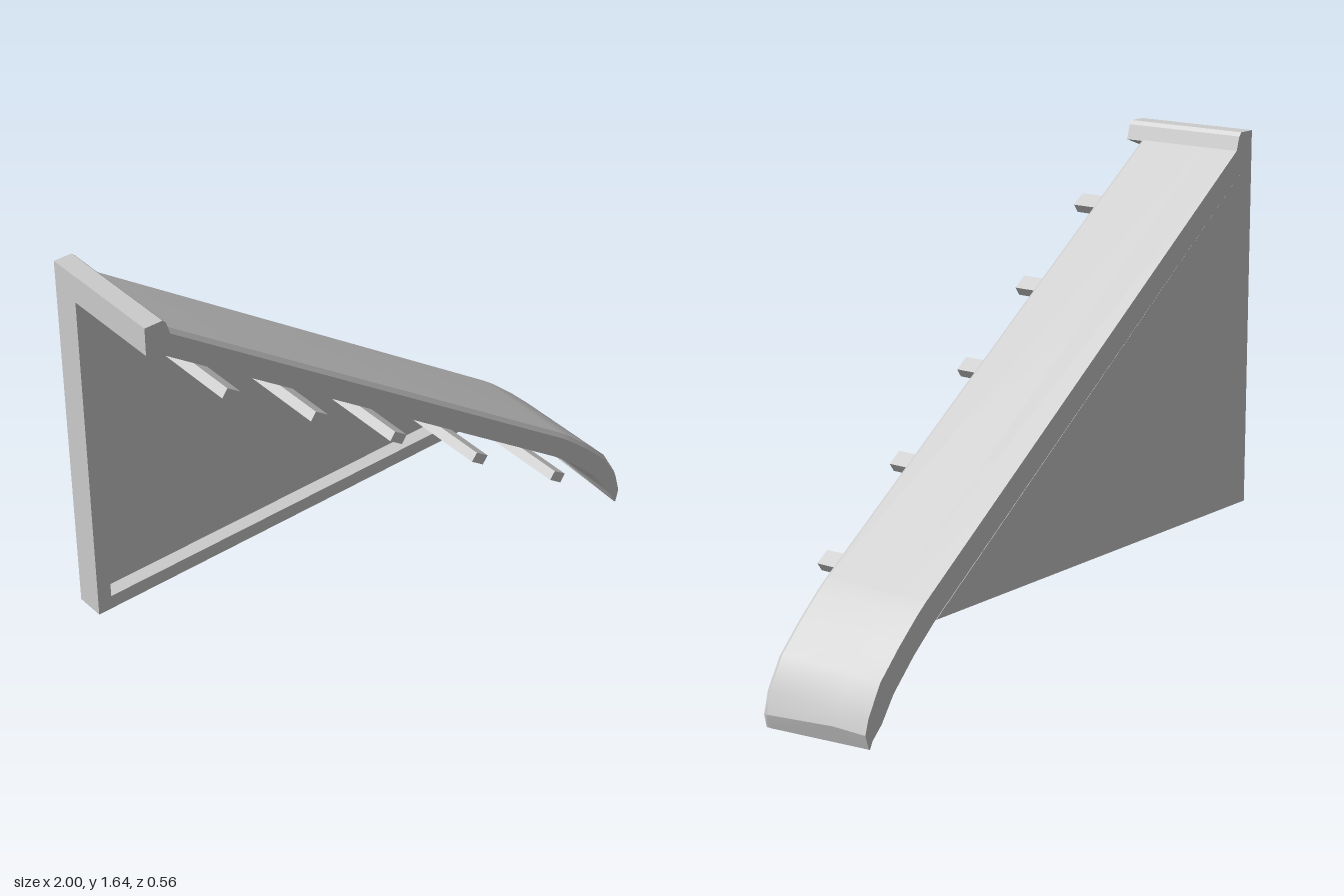
import * as THREE from 'three';
import { toCreasedNormals } from 'three/addons/utils/BufferGeometryUtils.js';

const BACK = -0.28;
const grey = new THREE.MeshStandardMaterial({ color: 0xcccccc });

const toPoints = (list) => list.map(([x, y]) => new THREE.Vector2(x, y));

// Flat outline extruded from z0 to z1, with an optional opening
function slab(name, outline, z0, z1, opening) {
  const shape = new THREE.Shape(toPoints(outline));
  if (opening) shape.holes.push(new THREE.Path(toPoints(opening)));
  const geometry = new THREE.ExtrudeGeometry(shape, { depth: z1 - z0, bevelEnabled: false });
  geometry.translate(0, 0, z0);
  const mesh = new THREE.Mesh(geometry, grey);
  mesh.name = name;
  return mesh;
}

// Roof: one cross-section carried down the slope and round the curled eave
function roofGeometry() {
  // outer x, outer y, inner x, inner y
  const stations = [
    [-0.95, 1.613, -1, 1.55],
    [0.72, 0.417, 0.64, 0.374],
    [0.76, 0.385, 0.68, 0.345],
    [0.845, 0.308, 0.775, 0.265],
    [0.93, 0.222, 0.87, 0.17],
    [0.985, 0.125, 0.925, 0.09],
    [1.0, 0.05, 0.967, 0.025],
    [0.985, 0.002, 0.98, 0],
  ];
  const rings = stations.map(([ox, oy, ix, iy]) => {
    const front = 0.127 + 0.008 * ox;
    const lift = 0.025 * THREE.MathUtils.smoothstep(ox, 0.9, 0.985) * (oy < 0.06 ? 1 : 0);
    const chamfer = [ox + (ix - ox) * 0.15, oy + (iy - oy) * 0.15, front];
    return [
      [ix, iy + lift, BACK],
      [ox, oy + lift, BACK],
      [ox, oy + lift, -0.15],
      [ox, oy, front - 0.018],
      chamfer,
      [ix, iy, front],
      [ix, iy + lift, -0.15],
    ];
  });
  const positions = [];
  const quad = (a, b, c, d) => positions.push(...a, ...b, ...c, ...a, ...c, ...d);
  const n = rings[0].length;
  for (let s = 0; s < rings.length - 1; s++) {
    for (let k = 0; k < n; k++) {
      const j = (k + 1) % n;
      quad(rings[s][k], rings[s][j], rings[s + 1][j], rings[s + 1][k]);
    }
  }
  // End caps
  const first = rings[0], last = rings[rings.length - 1];
  for (let k = 1; k < n - 1; k++) {
    positions.push(...first[0], ...first[k + 1], ...first[k]);
    positions.push(...last[0], ...last[k], ...last[k + 1]);
  }
  const geometry = new THREE.BufferGeometry();
  geometry.setAttribute('position', new THREE.Float32BufferAttribute(positions, 3));
  return toCreasedNormals(geometry, 0.45);
}

export function createModel() {
  const model = new THREE.Group();
  model.name = 'gableRoofEnd';

  // Gable wall: solid panel with a raised border in front
  const triangle = [[-1, 0.35], [0.67, 0.35], [-1, 1.55]];
  const opening = [[-0.95, 0.4], [-0.95, 1.45], [0.53, 0.4]];
  model.add(slab('gablePanel', triangle, BACK, -0.23));
  model.add(slab('gableFrame', triangle, -0.23, -0.18, opening));

  // Sloping roof with curled eave
  const roof = new THREE.Mesh(roofGeometry(), grey);
  roof.name = 'roof';
  model.add(roof);

  // Ridge cap along the top
  const cap = [[-1, 1.55], [-0.91, 1.582], [-0.925, 1.632], [-0.937, 1.645], [-1, 1.645]];
  model.add(slab('ridgeCap', cap, BACK, 0.172));

  // Purlins running out from under the slope
  const purlins = new THREE.Group();
  purlins.name = 'purlins';
  const centres = [[-0.78, 1.368], [-0.455, 1.13], [-0.143, 0.905], [0.202, 0.655], [0.556, 0.405]];
  for (const [x, y] of centres) {
    const purlin = new THREE.Mesh(new THREE.BoxGeometry(0.058, 0.034, 0.475), grey);
    purlin.name = 'purlin';
    purlin.position.set(x, y, 0.0375);
    purlin.rotation.z = -0.62;
    purlins.add(purlin);
  }
  model.add(purlins);
  return model;
}
